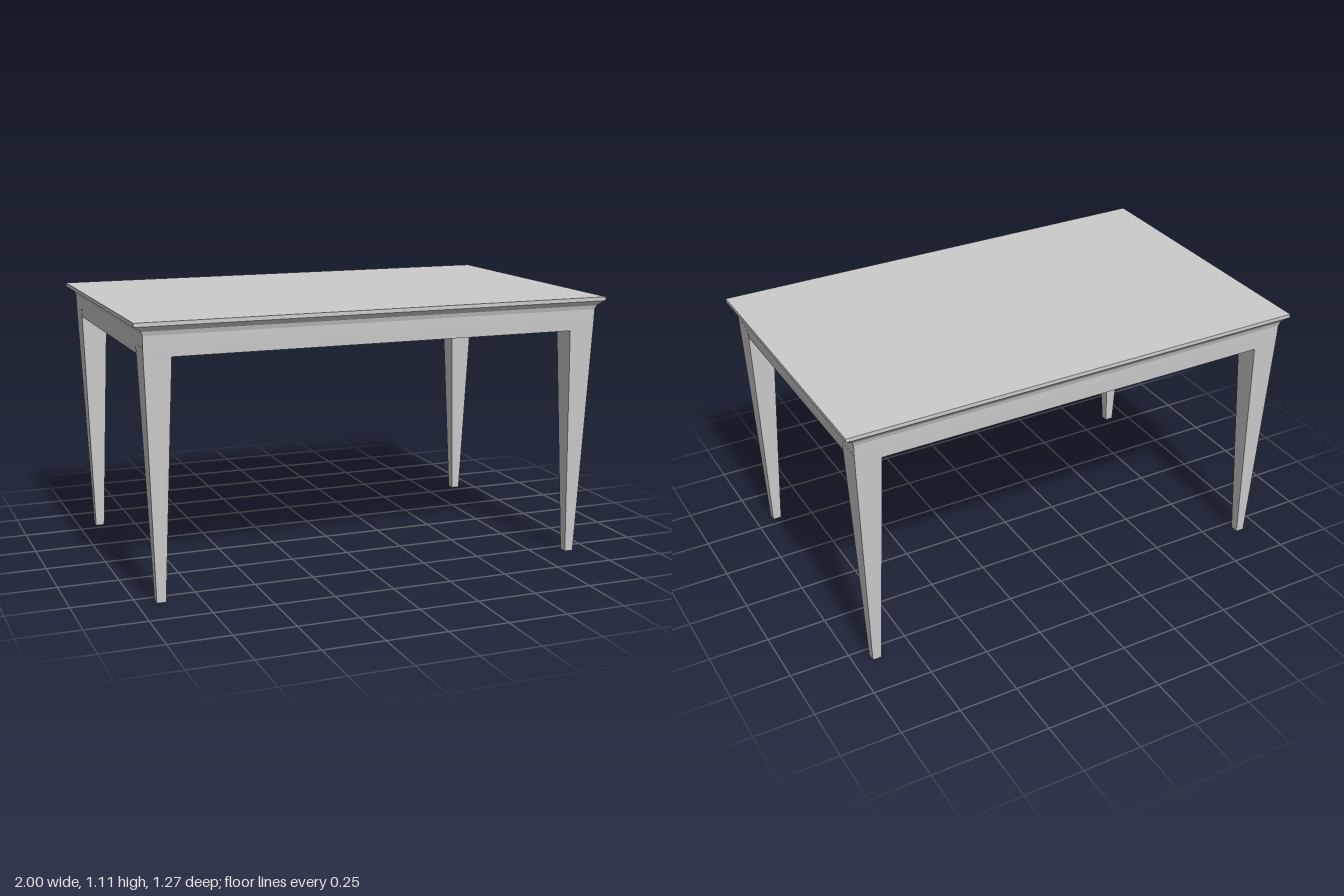
import * as THREE from 'three';
import { toCreasedNormals } from 'three/addons/utils/BufferGeometryUtils.js';

const material = new THREE.MeshStandardMaterial({ color: 0xcccccc });

// Skin a stack of rectangular rings [halfX, y, halfZ]; the first ring is closed facing down
function loftRectangles(rings) {
  const corners = [[1, 1], [1, -1], [-1, -1], [-1, 1]];
  const positions = [];
  for (const [hx, y, hz] of rings) {
    for (const [sx, sz] of corners) positions.push(sx * hx, y, sz * hz);
  }
  const index = [0, 2, 1, 0, 3, 2];
  for (let i = 0; i < rings.length - 1; i++) {
    for (let j = 0; j < 4; j++) {
      const a = i * 4 + j, b = i * 4 + (j + 1) % 4;
      index.push(a, b, b + 4, a, b + 4, a + 4);
    }
  }
  const geometry = new THREE.BufferGeometry();
  geometry.setAttribute('position', new THREE.Float32BufferAttribute(positions, 3));
  geometry.setIndex(index);
  return toCreasedNormals(geometry, 0.15);
}

export function createModel() {
  const table = new THREE.Group();
  table.name = 'table';

  const add = (name, geometry, x = 0, y = 0, z = 0) => {
    const mesh = new THREE.Mesh(geometry, material);
    mesh.name = name;
    mesh.position.set(x, y, z);
    table.add(mesh);
  };

  // Thin overhanging top
  add('tableTop', new THREE.BoxGeometry(2, 0.016, 1.268), 0, 1.102, 0);

  // Apron: shallow recess, across the underside, up the outside and out along the faceted cove
  add('apron', loftRectangles([
    [0.853, 1.014, 0.502],
    [0.853, 0.972, 0.502],
    [0.958, 0.972, 0.609],
    [0.9615, 1.012, 0.611],
    [0.962, 1.057, 0.612],
    [0.969, 1.074, 0.617],
    [0.999, 1.094, 0.633],
  ]));

  // Four square tapered legs
  const legHeight = 1.012;
  const legGeometry = new THREE.CylinderGeometry(
    0.056 * Math.SQRT2, 0.0185 * Math.SQRT2, legHeight, 4, 1
  ).rotateY(Math.PI / 4);
  const leg = toCreasedNormals(legGeometry, 0.5);
  for (const [end, sz] of [['front', 1], ['back', -1]]) {
    for (const [side, sx] of [['Left', 1], ['Right', -1]]) {
      add(`${end}${side}Leg`, leg, sx * 0.906, legHeight / 2, sz * 0.554);
    }
  }

  return table;
}
